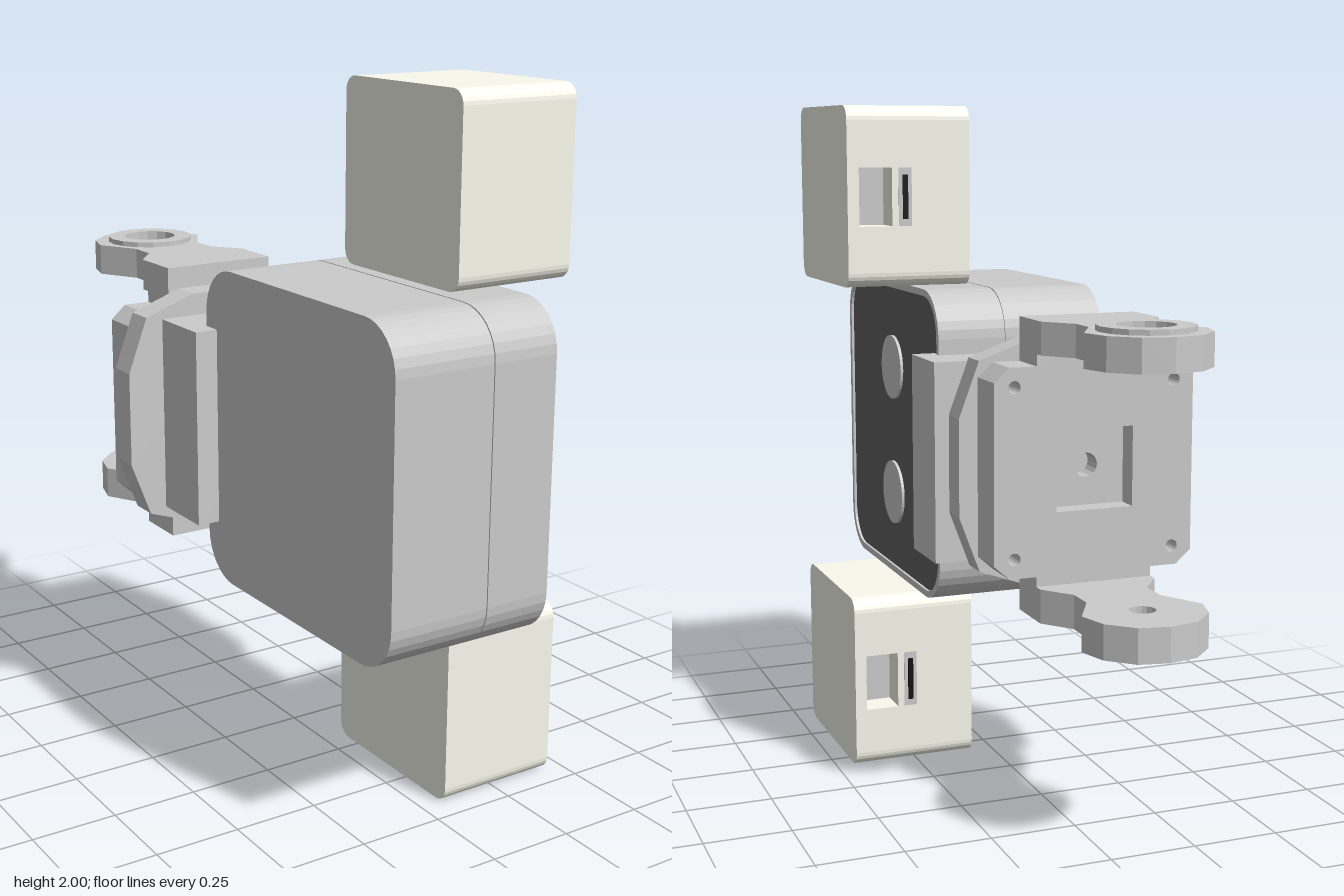
import * as THREE from 'three';

const grey = new THREE.MeshStandardMaterial({ color: 0xcccccc, flatShading: true });
const dark = new THREE.MeshStandardMaterial({ color: 0x636363, flatShading: true });
const cream = new THREE.MeshStandardMaterial({ color: 0xfafaee, flatShading: true });
const black = new THREE.MeshStandardMaterial({ color: 0x111111, flatShading: true });
const CX = -0.097; // centre line of the bracket

export function createModel() {
  const model = new THREE.Group();

  const add = (name, geometry, material = grey, parent = model) => {
    const mesh = new THREE.Mesh(geometry, material);
    mesh.name = name;
    parent.add(mesh);
    return mesh;
  };
  const box = (name, x0, x1, y0, y1, z0, z1, material = grey, parent = model) =>
    add(name, new THREE.BoxGeometry(x1 - x0, y1 - y0, z1 - z0)
      .translate((x0 + x1) / 2, (y0 + y1) / 2, (z0 + z1) / 2), material, parent);

  // Extrusions along each axis; for x and y the shape uses -z as its other coordinate
  const alongZ = (shape, a, b, seg = 16) => new THREE.ExtrudeGeometry(shape,
    { depth: b - a, bevelEnabled: false, curveSegments: seg }).translate(0, 0, a);
  const alongX = (shape, a, b, seg = 4) => alongZ(shape, a, b, seg).rotateY(Math.PI / 2);
  const alongY = (shape, a, b, seg = 16) => alongZ(shape, a, b, seg).rotateX(-Math.PI / 2);

  const polygon = pts => new THREE.Shape(pts.map(p => new THREE.Vector2(...p)));
  const circle = (x, y, r, Type = THREE.Path) => new Type().absarc(x, y, r, 0, Math.PI * 2, false);

  // Rounded rectangle, optionally with a notch [y0, y1, depth] in its rear edge
  const rounded = (z0, z1, y0, y1, r, notch, Type = THREE.Shape) => {
    const s = new Type(), u0 = -z1, u1 = -z0, q = Math.PI / 2;
    s.moveTo(u0 + r, y0);
    s.lineTo(u1 - r, y0);
    s.absarc(u1 - r, y0 + r, r, -q, 0, false);
    if (notch) {
      s.lineTo(u1, notch[0]);
      s.lineTo(u1 - notch[2], notch[0]);
      s.lineTo(u1 - notch[2], notch[1]);
      s.lineTo(u1, notch[1]);
    }
    s.lineTo(u1, y1 - r);
    s.absarc(u1 - r, y1 - r, r, 0, q, false);
    s.lineTo(u0 + r, y1);
    s.absarc(u0 + r, y1 - r, r, q, 2 * q, false);
    s.lineTo(u0, y0 + r);
    s.absarc(u0 + r, y0 + r, r, 2 * q, 3 * q, false);
    return s;
  };

  // Main housing: two shells with a fine seam, the open one framing a dark panel
  const outline = () => rounded(-0.04, 0.89, 0.54, 1.47, 0.135);
  const rim = outline();
  rim.holes.push(rounded(-0.02, 0.87, 0.56, 1.45, 0.115, null, THREE.Path));
  add('housingShell', alongX(outline(), -0.272, 0.032));
  add('housingSeam', alongX(rounded(-0.036, 0.886, 0.544, 1.466, 0.131), 0.03, 0.039));
  add('housingCover', alongX(outline(), 0.037, 0.222));
  add('housingRim', alongX(rim, 0.222, 0.238));
  add('frontPanel', alongX(rounded(-0.02, 0.87, 0.56, 1.45, 0.115), 0.215, 0.23), dark);
  for (const y of [0.8, 1.2])
    add('sensorWindow', alongX(circle(-0.425, y, 0.1, THREE.Shape), 0.22, 0.239, 20));

  // Cream modules above and below, each with a socket and a slot at the rear
  for (const [name, y0] of [['lowerModule', 0.003], ['upperModule', 1.473]]) {
    const g = new THREE.Group();
    g.name = name;
    model.add(g);
    const y1 = y0 + 0.527, c = (y0 + y1) / 2;
    const notch = [c - 0.085, c + 0.085, 0.1];
    const slices = [[0.07, 0.31], [0.31, 0.41, notch], [0.41, 0.445]];
    for (const [a, b, n] of slices)
      add('moduleCase', alongX(rounded(0.16, 0.688, y0, y1, 0.042, n), a, b, 3), cream, g);
    box('socketLining', 0.31, 0.41, c - 0.085, c + 0.085, 0.25, 0.262, grey, g);
    box('slotFrame', 0.25, 0.29, c - 0.085, c + 0.085, 0.158, 0.17, grey, g);
    box('slot', 0.262, 0.278, c - 0.065, c + 0.065, 0.155, 0.17, black, g);
  }

  // Neck block and faceted collar behind the housing
  box('neckBlock', -0.34, 0.3, 0.713, 1.29, -0.185, 0.018);
  const quarter = [[0.355, 0.14], [0.295, 0.3], [0.14, 0.355]];
  const flip = ([x, y]) => [-x, y];
  const half = [...quarter, ...quarter.map(flip).reverse()];
  const ring = [...half, ...half.map(([x, y]) => [-x, -y])];
  add('collar', alongZ(polygon(ring.map(([x, y]) => [x + CX, y + 1])), -0.27, -0.183));

  // Bracket plate: chamfered square with tabs running up and down to the arms
  const corner = [[0.3, 0.255], [0.255, 0.295], [0.175, 0.295], [0.175, 0.42]];
  const upper = [...corner, ...corner.map(flip).reverse()];
  const plate = [...upper, ...upper.map(([x, y]) => [-x, -y])];
  const plateShape = () => {
    const s = polygon(plate.map(([x, y]) => [x + CX, y + 1]));
    for (const i of [-1, 1]) for (const j of [-1, 1])
      s.holes.push(circle(CX + i * 0.24, 1 + j * 0.24, 0.018));
    return s;
  };
  const base = plateShape();
  base.holes.push(circle(CX, 1, 0.035));
  add('bracketBase', alongZ(base, -0.335, -0.27, 8));
  const face = plateShape();
  const h = 0.115;
  face.holes.push(new THREE.Path([[-h, -h], [h, -h], [h, h], [-h, h]]
    .map(([x, y]) => new THREE.Vector2(CX + x, 1 + y))));
  add('bracketFace', alongZ(face, -0.4, -0.335, 8));

  // Pivot arms: waisted plates ending in a faceted eye
  const armSide = [[0.175, 0.39], [0.175, 0.43], [0.11, 0.515], [0.11, 0.6],
    [0.176, 0.72], [0.152, 0.806], [0.085, 0.872]];
  const arm = hole => {
    const pts = [...armSide, [0, 0.89], ...armSide.map(flip).reverse()];
    const s = polygon(pts.map(([x, v]) => [x + CX, v]));
    s.holes.push(circle(CX, 0.718, hole));
    return s;
  };
  const washer = (r, hole) => {
    const s = circle(CX, 0.718, r, THREE.Shape);
    s.holes.push(circle(CX, 0.718, hole));
    return s;
  };
  add('upperArm', alongY(arm(0.08), 1.328, 1.42, 8));
  add('upperBoss', alongY(washer(0.132, 0.08), 1.42, 1.435, 8));
  add('lowerArm', alongY(arm(0.037), 0.58, 0.677, 8));
  add('lowerBoss', alongY(washer(0.09, 0.037), 0.568, 0.58, 8));

  return model;
}
